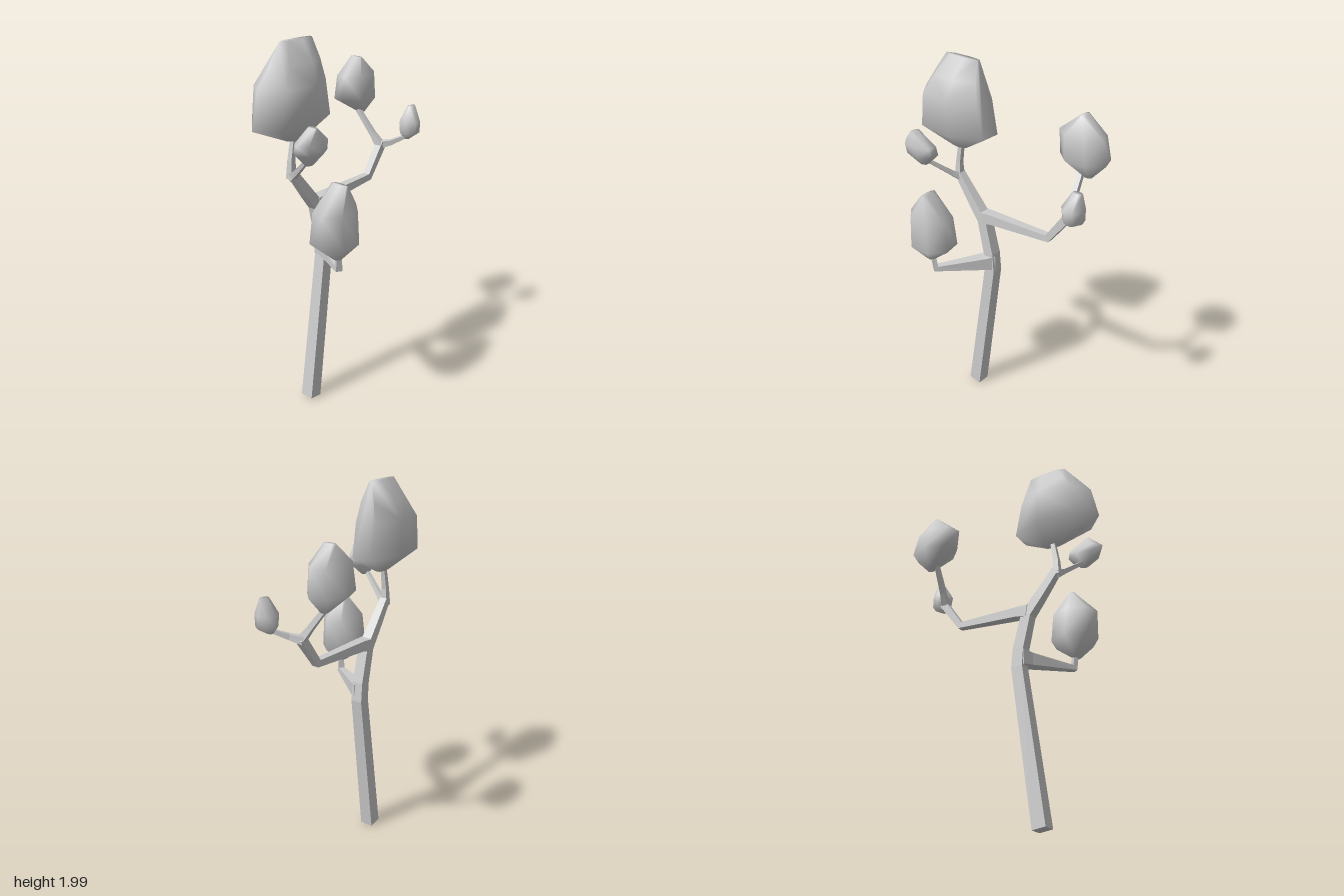
import * as THREE from 'three';
import { mergeVertices } from 'three/addons/utils/BufferGeometryUtils.js';
import { ConvexGeometry } from 'three/addons/geometries/ConvexGeometry.js';

const bark = new THREE.MeshStandardMaterial({ color: 0xcccccc, flatShading: true });
const leaf = new THREE.MeshStandardMaterial({ color: 0xcccccc });

// Square-section tapered limb along stations [x, y, z, halfWidth]; ref steers the side faces
function limb(name, stations, ref = [1, 0, 0]) {
  const pts = stations.map(s => new THREE.Vector3(s[0], s[1], s[2]));
  const side = new THREE.Vector3(...ref);
  const last = pts.length - 1;
  const rings = pts.map((p, i) => {
    const t = new THREE.Vector3();
    if (i > 0) t.add(p.clone().sub(pts[i - 1]).normalize());
    if (i < last) t.add(pts[i + 1].clone().sub(p).normalize());
    t.normalize();
    const v = t.clone().cross(side).normalize();
    const u = v.clone().cross(t);
    const h = stations[i][3];
    return [[1, 1], [-1, 1], [-1, -1], [1, -1]].map(([a, b]) =>
      p.clone().addScaledVector(u, a * h).addScaledVector(v, b * h));
  });
  const tris = [];
  for (let i = 0; i < last; i++) {
    for (let k = 0; k < 4; k++) {
      const n = (k + 1) % 4, a = rings[i], b = rings[i + 1];
      tris.push(a[k], a[n], b[n], a[k], b[n], b[k]);
    }
  }
  const [s, e] = [rings[0], rings[last]];
  tris.push(s[0], s[2], s[1], s[0], s[3], s[2], e[0], e[1], e[2], e[0], e[2], e[3]);
  const geo = new THREE.BufferGeometry().setFromPoints(tris);
  geo.computeVertexNormals();
  const mesh = new THREE.Mesh(geo, bark);
  mesh.name = name;
  return mesh;
}

// Faceted leaf clump: smooth-shaded hull around seven-sided rings [y, cx, cz, rx, rz]
function clump(name, turn, rings) {
  const pts = [];
  for (const [y, cx, cz, rx, rz] of rings) {
    for (let k = 0; k < 7; k++) {
      const a = turn + (k / 7) * Math.PI * 2;
      pts.push(new THREE.Vector3(cx + rx * Math.sin(a), y, cz + rz * Math.cos(a)));
    }
  }
  let geo = new ConvexGeometry(pts);
  geo.deleteAttribute('normal');
  geo = mergeVertices(geo, 1e-4);
  geo.computeVertexNormals();
  const mesh = new THREE.Mesh(geo, leaf);
  mesh.name = name;
  return mesh;
}

export function createModel() {
  const tree = new THREE.Group();
  tree.name = 'tree';

  // Trunk and main limbs
  tree.add(
    limb('trunk', [
      [-0.055, 0.015, 0.197, 0.037], [-0.055, 0.85, 0.08, 0.032], [-0.055, 0.95, 0.088, 0.031],
      [-0.055, 1.14, 0.135, 0.029], [-0.055, 1.22, 0.2, 0.026], [-0.055, 1.36, 0.31, 0.02],
    ]),
    limb('backBranch', [
      [-0.055, 1.155, 0.14, 0.033], [-0.055, 1.165, 0.08, 0.028],
      [-0.055, 1.185, -0.29, 0.019], [-0.055, 1.35, -0.41, 0.021],
    ]),
    limb('lowBranch', [
      [-0.06, 0.9, 0.085, 0.042], [-0.01, 0.9, 0.115, 0.034],
      [0.205, 0.905, 0.262, 0.017], [0.213, 0.99, 0.27, 0.012],
    ], [0.56, 0, -0.83]),
  );

  // Twigs that carry the clumps
  tree.add(
    limb('crownTwig', [[-0.055, 1.33, 0.31, 0.02], [-0.055, 1.42, 0.31, 0.014], [-0.053, 1.57, 0.285, 0.011]]),
    limb('frontTwig', [[-0.06, 1.335, 0.305, 0.02], [-0.01, 1.37, 0.325, 0.013], [0.125, 1.48, 0.385, 0.009]], [0, 0, 1]),
    limb('backRightTwig', [[-0.05, 1.335, -0.4, 0.021], [-0.1, 1.4, -0.39, 0.014], [-0.21, 1.55, -0.37, 0.011]], [0, 0, 1]),
    limb('backLeftTwig', [[-0.065, 1.34, -0.4, 0.021], [-0.01, 1.355, -0.435, 0.014], [0.055, 1.39, -0.495, 0.009]], [1, 0, 1]),
  );

  // Leaf clumps
  tree.add(
    clump('crownLeaves', 0, [
      [1.525, -0.045, 0.29, 0.025, 0.05], [1.62, -0.05, 0.315, 0.128, 0.25],
      [1.8, -0.048, 0.315, 0.134, 0.21], [1.9, -0.045, 0.29, 0.09, 0.16], [2, -0.05, 0.262, 0.018, 0.11],
    ]),
    clump('backRightLeaves', -Math.PI / 2, [
      [1.505, -0.2, -0.41, 0.02, 0.02], [1.59, -0.212, -0.375, 0.1, 0.137],
      [1.72, -0.198, -0.365, 0.085, 0.13], [1.815, -0.2, -0.365, 0.035, 0.012],
    ]),
    clump('frontLeaves', 0, [
      [1.457, 0.13, 0.385, 0.02, 0.025], [1.52, 0.14, 0.385, 0.065, 0.095],
      [1.57, 0.15, 0.39, 0.058, 0.1], [1.645, 0.172, 0.4, 0.028, 0.015],
    ]),
    clump('backLeftLeaves', 0.3, [
      [1.375, 0.055, -0.495, 0.015, 0.015], [1.41, 0.06, -0.512, 0.056, 0.054],
      [1.47, 0.062, -0.507, 0.06, 0.058], [1.555, 0.06, -0.525, 0.018, 0.028],
    ]),
    clump('lowLeaves', 0.2, [
      [0.965, 0.21, 0.28, 0.025, 0.02], [1.05, 0.195, 0.278, 0.12, 0.13],
      [1.22, 0.205, 0.28, 0.1, 0.128], [1.355, 0.225, 0.275, 0.05, 0.012],
    ]),
  );
  return tree;
}
